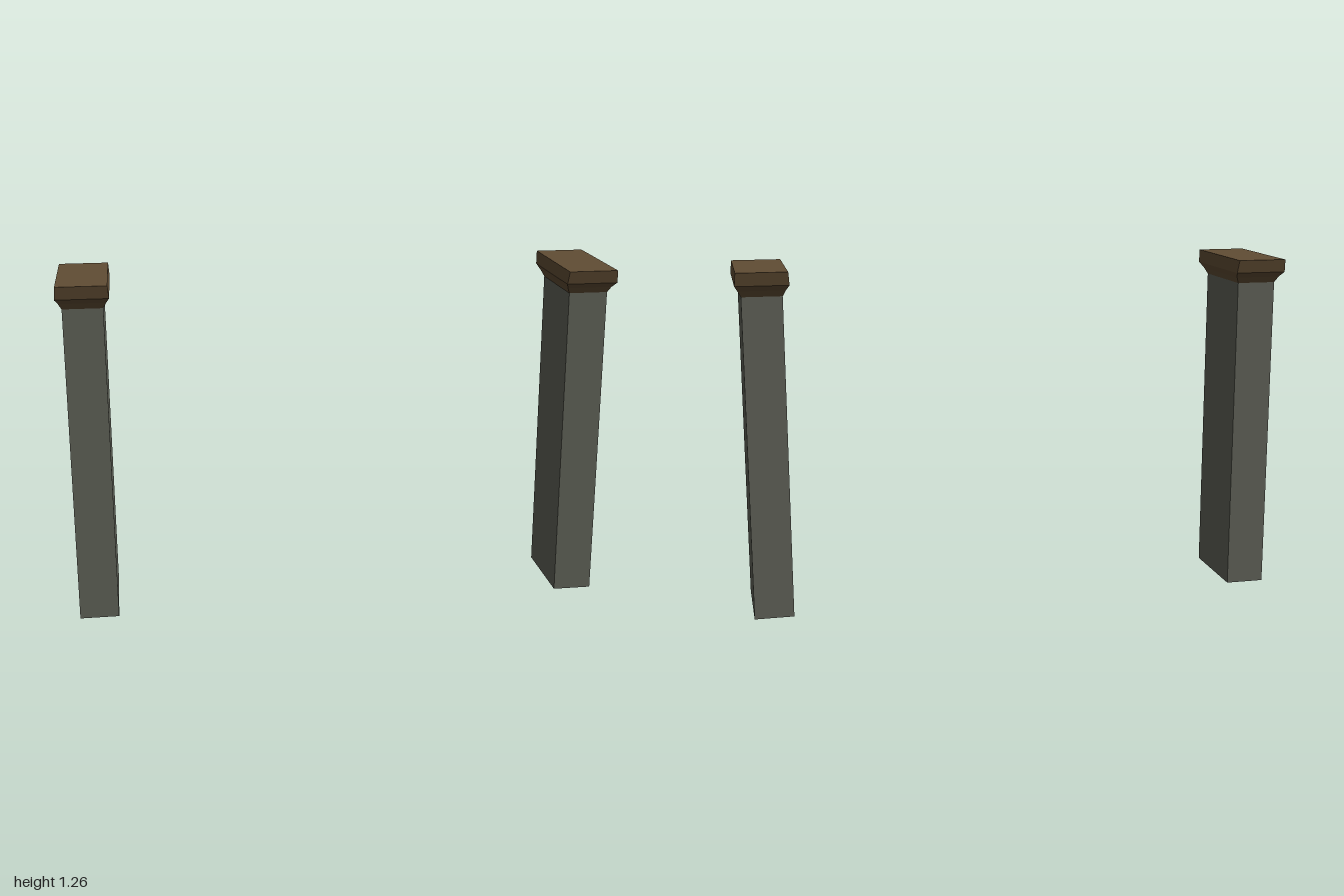
import * as THREE from 'three';

const stone = new THREE.MeshStandardMaterial({ color: 0x5f6157 });
stone.name = 'greyStone';
const wood = new THREE.MeshStandardMaterial({ color: 0x614d34 });
wood.name = 'brownCap';

// Stacked rectangular sections [y, halfX, halfZ], closed at both ends, hard edges
function loft(sections) {
  const pos = [];
  const rings = sections.map(([y, x, z]) => [[-x, y, z], [x, y, z], [x, y, -z], [-x, y, -z]]);
  const quad = (a, b, c, d) => pos.push(...a, ...b, ...c, ...a, ...c, ...d);
  for (let i = 0; i < rings.length - 1; i++) {
    const lo = rings[i], hi = rings[i + 1];
    for (let k = 0; k < 4; k++) {
      const n = (k + 1) % 4;
      quad(lo[k], lo[n], hi[n], hi[k]);
    }
  }
  quad(...rings[rings.length - 1]);
  quad(...[...rings[0]].reverse());
  const geometry = new THREE.BufferGeometry();
  geometry.setAttribute('position', new THREE.Float32BufferAttribute(pos, 3));
  geometry.computeVertexNormals();
  return geometry;
}

export function createModel() {
  const model = new THREE.Group();
  model.name = 'pillarPair';

  const shaftGeometry = loft([[0, 0.071, 0.158], [1.168, 0.071, 0.158]]);
  // Flared moulding below a slab with slightly sloping sides
  const capGeometry = loft([
    [1.168, 0.071, 0.158],
    [1.19, 0.082, 0.172],
    [1.21, 0.093, 0.199],
    [1.257, 0.089, 0.211],
  ]);

  for (const side of [-1, 1]) {
    const pillar = new THREE.Group();
    pillar.name = side > 0 ? 'leftPillar' : 'rightPillar';
    pillar.position.x = side * 0.906;

    const shaft = new THREE.Mesh(shaftGeometry, stone);
    shaft.name = 'shaft';
    const cap = new THREE.Mesh(capGeometry, wood);
    cap.name = 'cap';
    pillar.add(shaft, cap);
    model.add(pillar);
  }
  return model;
}
